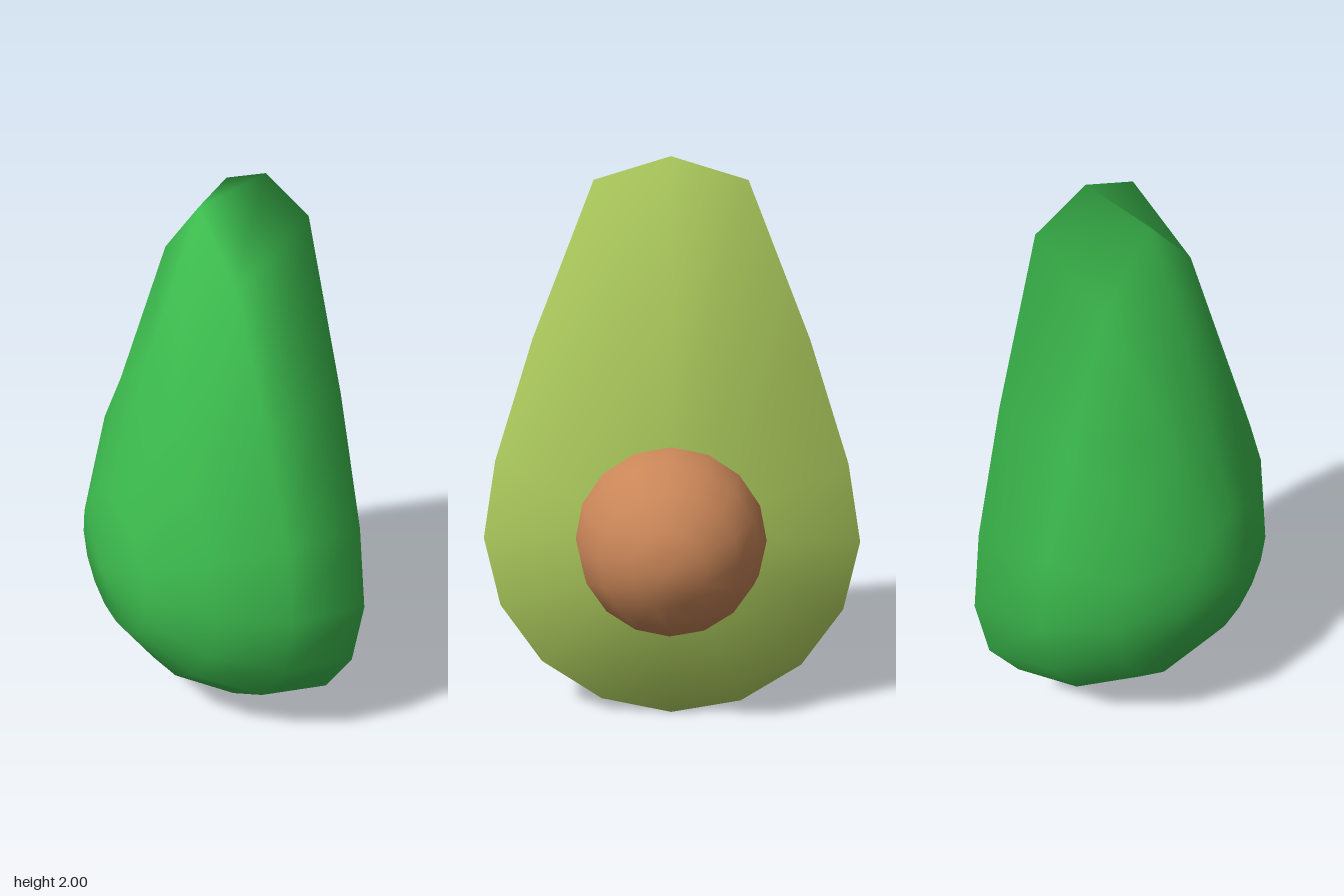
import * as THREE from 'three';
import { mergeGeometries, mergeVertices } from 'three/addons/utils/BufferGeometryUtils.js';

const SIDES = 16, RINGS = 4;
const CUT_X = 0.16, CENTRE_Y = 0.67, RADIUS = 0.67, SEED_RADIUS = 0.34;

// Half sphere whose pole points along -x, open on the x = 0 plane
function halfSphere(radius) {
  return new THREE.SphereGeometry(radius, SIDES, RINGS, 0, Math.PI * 2, 0, Math.PI / 2)
    .rotateZ(Math.PI / 2);
}

// Join seams and shade smoothly
function smooth(geometry) {
  geometry.deleteAttribute('uv');
  geometry.deleteAttribute('normal');
  const welded = mergeVertices(geometry, 1e-4);
  welded.computeVertexNormals();
  return welded;
}

function part(name, geometry, color) {
  const mesh = new THREE.Mesh(geometry, new THREE.MeshStandardMaterial({ color }));
  mesh.name = name;
  return mesh;
}

export function createModel() {
  const group = new THREE.Group();
  group.name = 'halvedFruit';

  // Skin shell and flat cut face, welded so shading flows around the rim
  const shell = halfSphere(RADIUS);
  const face = new THREE.CircleGeometry(RADIUS, SIDES).rotateY(Math.PI / 2);
  const skinCount = shell.index.count, faceCount = face.index.count;
  const body = mergeGeometries([shell, face]);

  // Stretch the upper half into a pear-shaped neck
  const pos = body.attributes.position;
  for (let i = 0; i < pos.count; i++) {
    const y = pos.getY(i);
    if (y > 0) pos.setY(i, y + Math.min(3.4 * Math.pow(y, 3.5), 0.66));
  }
  body.translate(CUT_X, CENTRE_Y, 0);
  const welded = smooth(body);

  // Split the welded body into its two coloured parts
  const slice = (start, count) => {
    const g = new THREE.BufferGeometry();
    g.setAttribute('position', welded.attributes.position);
    g.setAttribute('normal', welded.attributes.normal);
    g.setIndex(Array.from(welded.index.array.slice(start, start + count)));
    return g;
  };
  group.add(part('skin', slice(0, skinCount), 0x3cbc4e));
  group.add(part('flesh', slice(skinCount, faceCount), 0xb2d160));

  // Seed: half sphere standing out of the cut face
  const seed = halfSphere(SEED_RADIUS).rotateY(Math.PI).translate(CUT_X, CENTRE_Y, 0);
  group.add(part('seed', smooth(seed), 0xc98658));

  return group;
}
